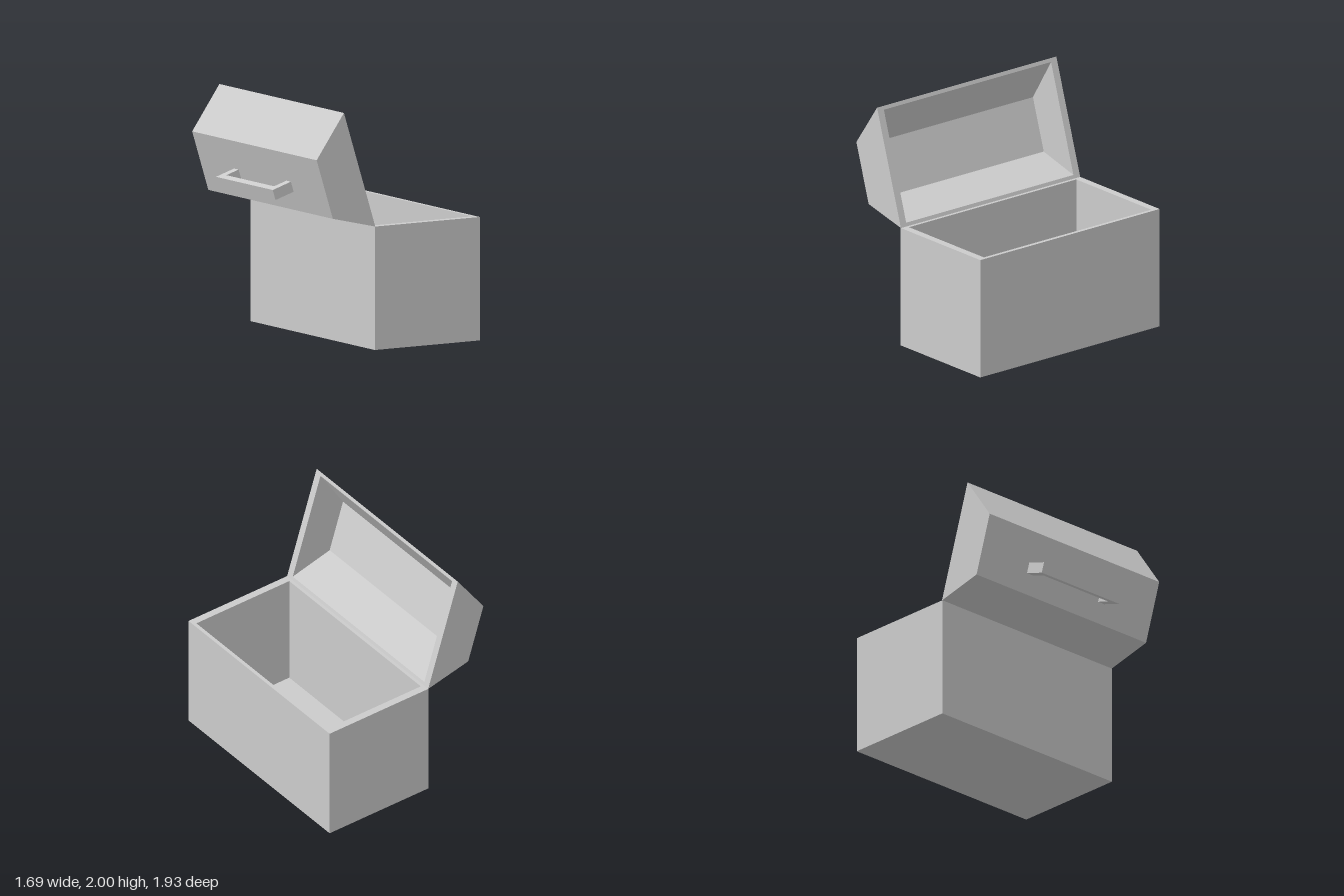
import * as THREE from 'three';

const HALF_Z = 0.965, INNER_Z = 0.9;
const material = new THREE.MeshStandardMaterial({ color: 0xcccccc, flatShading: true });

const polygon = (points) => new THREE.Shape(points.map(([x, y]) => new THREE.Vector2(x, y)));

function addMesh(parent, name, geometry) {
  const mesh = new THREE.Mesh(geometry, material);
  mesh.name = name;
  parent.add(mesh);
  return mesh;
}

// Prism of a profile, running along z from z0 to z1
function prism(shape, z0, z1) {
  const geometry = new THREE.ExtrudeGeometry(shape, { depth: z1 - z0, bevelEnabled: false });
  return geometry.translate(0, 0, z0);
}

const rectangle = (x0, x1, z) => [[x0, -z], [x1, -z], [x1, z], [x0, z]];

// Open box: four walls around a floor
function createBase() {
  const base = new THREE.Group();
  base.name = 'base';
  const inner = rectangle(-0.15, 0.808, INNER_Z);
  const walls = polygon(rectangle(-0.182, 0.84, HALF_Z));
  walls.holes.push(polygon(inner));
  addMesh(base, 'walls', prism(walls, 0, 1.028).rotateX(-Math.PI / 2));
  addMesh(base, 'floor', prism(polygon(inner), 0, 0.03).rotateX(-Math.PI / 2));
  return base;
}

// Hollow lid, drawn closed with the hinge at its origin
function createLid() {
  const lid = new THREE.Group();
  lid.name = 'lid';
  const outer = [[0, 0], [1.017, 0], [0.74, 0.365], [0.216, 0.365]];
  const inner = [[0.031, 0], [0.985, 0], [0.7, 0.333], [0.24, 0.333]];
  const band = polygon([outer[0], inner[0], inner[3], inner[2], inner[1], outer[1], outer[2], outer[3]]);
  addMesh(lid, 'lidShell', prism(band, -HALF_Z, HALF_Z));
  addMesh(lid, 'lidFrontEnd', prism(polygon(inner), INNER_Z, HALF_Z));
  addMesh(lid, 'lidBackEnd', prism(polygon(inner), -HALF_Z, -INNER_Z));

  // U-shaped handle, drawn in (z, height) and extruded across the lid
  const handle = polygon([
    [-0.44, 0.365], [-0.37, 0.365], [-0.37, 0.49], [0.37, 0.49],
    [0.37, 0.365], [0.44, 0.365], [0.44, 0.55], [-0.44, 0.55],
  ]);
  addMesh(lid, 'handle', prism(handle, 0.388, 0.478).rotateY(Math.PI / 2));
  return lid;
}

export function createModel() {
  const model = new THREE.Group();
  model.name = 'openChest';
  const lid = createLid();
  lid.position.set(-0.177, 1.028, 0);
  lid.rotation.z = Math.acos(-0.3); // swung open past upright
  model.add(createBase(), lid);
  return model;
}
